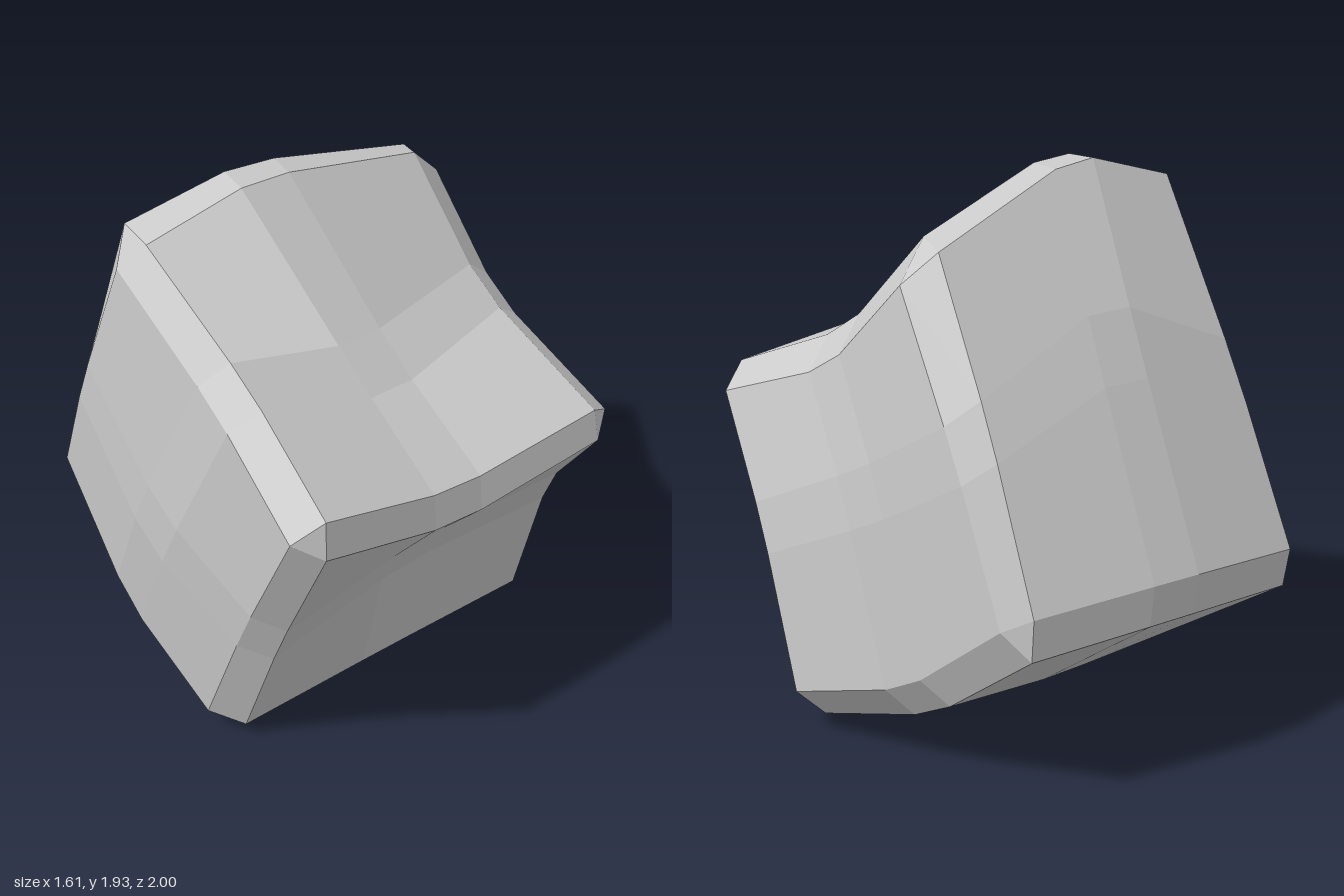
import * as THREE from 'three';

const V = (a) => new THREE.Vector3(...a);

// Each block corner is cut off into three points, one on each face that meets there:
// [side face, top/bottom face, front/back face].
// Index = x (0 for -x, 1 for +x) + 2 * y (0 top, 1 bottom) + 4 * z (0 front, 1 back).
const CORNERS = [
  [[-0.60, 1.23, 0.96], [-0.50, 1.31, 1.00], [-0.50, 1.17, 1.00]],
  [[0.76, 1.11, 0.54], [0.65, 1.19, 0.64], [0.66, 1.08, 0.66]],
  [[-0.65, 0.10, 0.32], [-0.55, 0.00, 0.26], [-0.54, 0.06, 0.40]],
  [[0.78, 0.16, 0.00], [0.67, 0.055, 0.00], [0.69, 0.11, 0.13]],
  [[-0.77, 1.73, 0.00], [-0.69, 1.83, 0.07], [-0.71, 1.845, -0.075]],
  [[0.61, 1.62, -0.45], [0.47, 1.75, -0.36], [0.50, 1.72, -0.50]],
  [[-0.80, 0.60, -0.70], [-0.70, 0.50, -0.79], [-0.70, 0.64, -0.82]],
  [[0.53, 0.61, -0.90], [0.46, 0.52, -0.97], [0.46, 0.66, -0.98]],
].map((c) => c.map(V));

// How far the middle of each edge bows, per axis, ordered by the two other axes
const EDGE_BOW = [
  [[0, -0.06, 0.01], [0.06, 0, -0.02], [-0.08, 0.13, 0.10], [0.09, 0.04, -0.09]],
  [[0, -0.05, -0.05], [0.035, 0.025, -0.11], [-0.018, -0.1, -0.06], [0.01, -0.03, -0.06]],
  [[0, 0.04, 0.04], [-0.03, -0.04, -0.12], [-0.04, -0.03, -0.02], [-0.035, -0.05, -0.065]],
].map((axis) => axis.map(V));

// Extra bow in the middle of each face: sides, top/bottom, front/back
const FACE_BOW = [
  [[-0.045, 0, 0.04], [0.01, 0.06, 0.02]],
  [[0.04, -0.08, 0.03], [0.05, -0.04, 0.02]],
  [[0, 0.055, -0.04], [0.07, 0.085, -0.02]],
].map((axis) => axis.map(V));

const STEPS = [0, 0.37, 0.54, 1];
const BOWED = [0, 1, 1, 0];
const OTHERS = [[1, 2], [0, 2], [0, 1]];
const cornerIndex = (at) => at[0] + 2 * at[1] + 4 * at[2];
const edgeBow = (axis, at) => EDGE_BOW[axis][at[OTHERS[axis][0]] + 2 * at[OTHERS[axis][1]]];

// Point (i, j) of the 4 x 4 grid on a face: blended corners plus the bows
function facePoint(axis, side, i, j) {
  const [b, c] = OTHERS[axis];
  const at = (u, v) => {
    const p = [0, 0, 0];
    p[axis] = side; p[b] = u; p[c] = v;
    return p;
  };
  const corner = (u, v) => CORNERS[cornerIndex(at(u, v))][axis];
  const s = STEPS[i], t = STEPS[j];
  const point = corner(0, 0).clone().lerp(corner(1, 0), s)
    .lerp(corner(0, 1).clone().lerp(corner(1, 1), s), t);
  const bowB = edgeBow(b, at(0, 0)).clone().lerp(edgeBow(b, at(0, 1)), t);
  const bowC = edgeBow(c, at(0, 0)).clone().lerp(edgeBow(c, at(1, 0)), s);
  return point.addScaledVector(bowB, BOWED[i]).addScaledVector(bowC, BOWED[j])
    .addScaledVector(FACE_BOW[axis][side], BOWED[i] * BOWED[j]);
}

export function createModel() {
  const positions = [];
  const normals = [];
  const centre = new THREE.Vector3(0, 0.93, 0);

  // Flat panel of 3 or 4 corners, turned outward, with one normal for the whole panel
  // and split along the diagonal from its first corner
  const panel = (...points) => {
    const [a, b, c, d = a] = points;
    const normal = c.clone().sub(a).cross(d.clone().sub(b)).normalize();
    const middle = points.reduce((sum, p) => sum.add(p), new THREE.Vector3())
      .divideScalar(points.length);
    const flipped = normal.dot(middle.sub(centre)) < 0;
    if (flipped) normal.negate();
    for (let k = 1; k < points.length - 1; k++) {
      const [p, q] = flipped ? [points[k + 1], points[k]] : [points[k], points[k + 1]];
      [a, p, q].forEach((v) => {
        positions.push(v.x, v.y, v.z);
        normals.push(normal.x, normal.y, normal.z);
      });
    }
  };

  // Six faces of 3 x 3 panels; the outer panels split from the block's corners inward
  for (let axis = 0; axis < 3; axis++) {
    for (let side = 0; side < 2; side++) {
      const p = (i, j) => facePoint(axis, side, i, j);
      for (let i = 0; i < 3; i++) {
        for (let j = 0; j < 3; j++) {
          const ring = [p(i, j), p(i + 1, j), p(i + 1, j + 1), p(i, j + 1)];
          if (Math.abs(i - j) === 2) ring.push(ring.shift());
          panel(...ring);
        }
      }
    }
  }

  // Twelve bevels, each joining the borders of two faces
  for (let axis = 0; axis < 3; axis++) {
    const [b, c] = OTHERS[axis];
    const border = (face, side, across, end, k) => (OTHERS[face][0] === across
      ? facePoint(face, side, end * 3, k) : facePoint(face, side, k, end * 3));
    for (let sb = 0; sb < 2; sb++) {
      for (let sc = 0; sc < 2; sc++) {
        for (let k = 0; k < 3; k++) {
          panel(border(b, sb, c, sc, k), border(b, sb, c, sc, k + 1),
            border(c, sc, b, sb, k + 1), border(c, sc, b, sb, k));
        }
      }
    }
  }

  // Eight corner cuts
  CORNERS.forEach((c) => panel(...c));

  const geometry = new THREE.BufferGeometry();
  geometry.setAttribute('position', new THREE.Float32BufferAttribute(positions, 3));
  geometry.setAttribute('normal', new THREE.Float32BufferAttribute(normals, 3));

  const boulder = new THREE.Mesh(geometry, new THREE.MeshStandardMaterial({ color: 0xcccccc }));
  boulder.name = 'boulder';
  const group = new THREE.Group();
  group.name = 'rock';
  group.add(boulder);
  return group;
}
